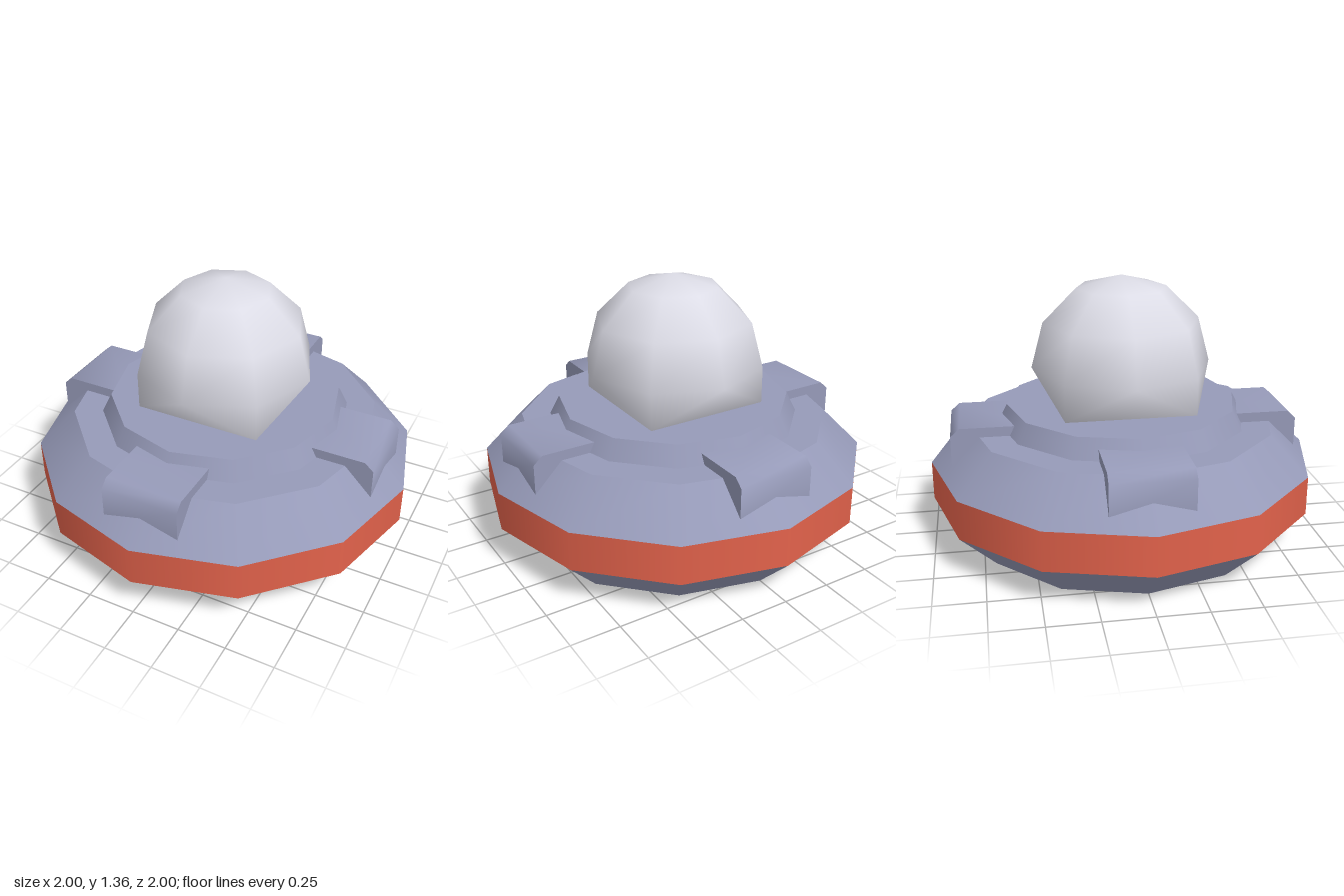
import * as THREE from 'three';
import { toCreasedNormals } from 'three/addons/utils/BufferGeometryUtils.js';

const mat = (name, color) => {
  const m = new THREE.MeshStandardMaterial({ color });
  m.name = name;
  return m;
};

export function createModel() {
  const hull = mat('hullGrey', 0x969ab8);
  const red = mat('bandRed', 0xe2624b);
  const pale = mat('domeWhite', 0xdcdce6);
  const model = new THREE.Group();
  model.name = 'saucer';

  const add = (name, geometry, material) => {
    const mesh = new THREE.Mesh(geometry, material);
    mesh.name = name;
    model.add(mesh);
    return mesh;
  };

  // Twelve-sided hull bands: name, lower radius, lower y, upper radius, upper y, material
  const bands = [
    ['lowerHull', 0.8, 0, 1, 0.2, hull],
    ['redBand', 1, 0.2, 1, 0.4, red],
    ['upperHull', 1, 0.4, 0.8, 0.6, hull],
    ['collar', 0.65, 0.6, 0.6, 0.7, hull],
  ];
  for (const [name, r0, y0, r1, y1, material] of bands) {
    const g = new THREE.CylinderGeometry(r1, r0, y1 - y0, 12, 1, true);
    add(name, g.translate(0, (y0 + y1) / 2, 0), material);
  }

  // Flat twelve-sided faces closing the hull
  const disc = (name, r, y, up) => {
    const g = new THREE.CircleGeometry(r, 12).rotateX(up ? -Math.PI / 2 : Math.PI / 2);
    add(name, g.translate(0, y, 0), hull);
  };
  disc('hullBottom', 0.8, 0, false);
  disc('hullDeck', 0.8, 0.6, true);
  disc('collarTop', 0.6, 0.7, true);

  // Four blocks around the deck, with a softly shaded outer bevel
  const profile = new THREE.Shape(
    [[0.5, 0.42], [0.89, 0.42], [0.89, 0.61], [0.845, 0.65], [0.5, 0.65]]
      .map(([x, y]) => new THREE.Vector2(x, y)));
  const block = toCreasedNormals(
    new THREE.ExtrudeGeometry(profile, { depth: 0.4, bevelEnabled: false }).translate(0, 0, -0.2),
    THREE.MathUtils.degToRad(55));
  for (let i = 0; i < 4; i++) add('deckBlock' + (i + 1), block, hull).rotation.y = i * Math.PI / 2;

  add('dome', domeGeometry(0.466, 0.89, 0.7), pale);
  return model;
}

// Eight-sided half sphere whose lower rim narrows to a square with corners on the diagonals
function domeGeometry(r, midY, baseY) {
  const pos = [], normal = [], index = [];
  const vertex = (azimuth, radius, y) => {
    const p = new THREE.Vector3(Math.sin(azimuth) * radius, y, Math.cos(azimuth) * radius);
    pos.push(p.x, p.y, p.z);
    p.y -= midY;
    normal.push(...p.normalize().toArray());
  };
  // Rings from the top down to the widest level
  for (let ring = 0; ring < 4; ring++) {
    const t = ring * Math.PI / 6;
    for (let i = 0; i < 8; i++) vertex(i * Math.PI / 4, r * Math.sin(t), midY + r * Math.cos(t));
  }
  // Base corners
  for (let i = 0; i < 4; i++) vertex((i + 0.5) * Math.PI / 2, r, baseY);

  for (let ring = 0; ring < 3; ring++) {
    for (let i = 0; i < 8; i++) {
      const a = ring * 8 + i, b = ring * 8 + (i + 1) % 8;
      index.push(a + 8, b + 8, b);
      if (ring > 0) index.push(a + 8, b, a);
    }
  }
  // Upright corner faces and the sloping faces between them
  for (let k = 0; k < 4; k++) {
    const corner = 32 + k, next = 32 + (k + 1) % 4;
    const before = 24 + 2 * k, above = before + 1, after = 24 + (2 * k + 2) % 8;
    index.push(before, corner, above, above, corner, after, after, corner, next);
  }
  const g = new THREE.BufferGeometry();
  g.setAttribute('position', new THREE.Float32BufferAttribute(pos, 3));
  g.setAttribute('normal', new THREE.Float32BufferAttribute(normal, 3));
  g.setIndex(index);
  return g;
}
